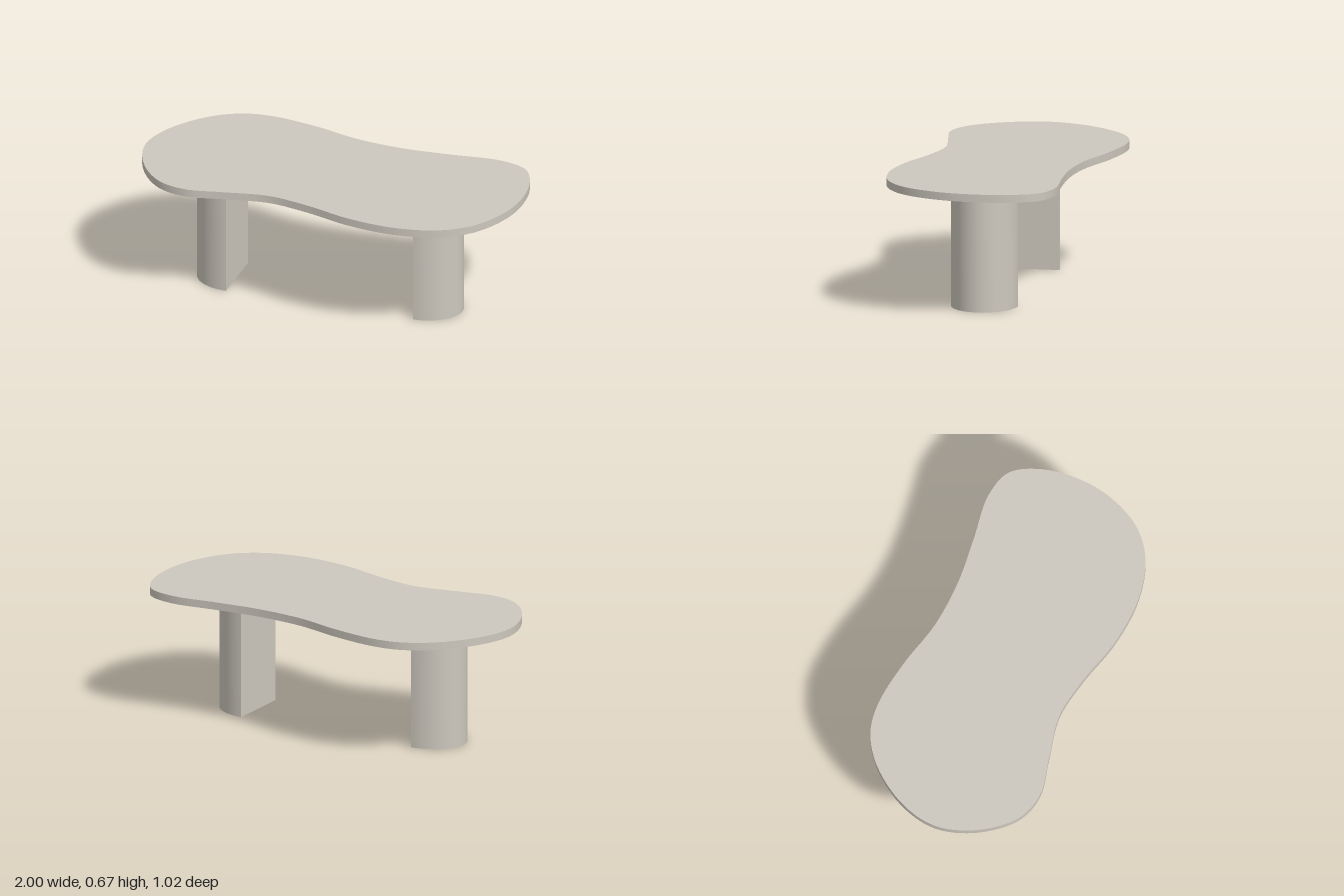
import * as THREE from 'three';
import { toCreasedNormals } from 'three/addons/utils/BufferGeometryUtils.js';

const LEG_HEIGHT = 0.625;
const TOP_THICKNESS = 0.04;

// Upright prism from a plan outline of (x, -z) points, with smooth sides and sharp rims
function prism(points, height) {
  const geometry = new THREE.ExtrudeGeometry(new THREE.Shape(points), {
    depth: height, bevelEnabled: false,
  });
  geometry.rotateX(-Math.PI / 2);
  return toCreasedNormals(geometry, 0.6);
}

export function createModel() {
  const group = new THREE.Group();
  const stone = new THREE.MeshStandardMaterial({ color: 0xcdc8be });
  stone.name = 'warm grey';

  // Freeform top: plan control points as x, z
  const plan = [
    [-1, 0], [-0.95, -0.2], [-0.8, -0.4], [-0.65, -0.49], [-0.5, -0.51],
    [-0.25, -0.47], [0, -0.4], [0.25, -0.375], [0.5, -0.387], [0.75, -0.405],
    [0.9, -0.355], [0.975, -0.22], [1, -0.03], [0.97, 0.16], [0.87, 0.35],
    [0.72, 0.46], [0.5, 0.505], [0.25, 0.48], [0, 0.405], [-0.22, 0.365],
    [-0.45, 0.4], [-0.65, 0.43], [-0.8, 0.38], [-0.94, 0.21],
  ];
  const curve = new THREE.CatmullRomCurve3(
    plan.map(([x, z]) => new THREE.Vector3(x, -z, 0)), true);
  const outline = curve.getPoints(160).slice(0, -1).map((p) => new THREE.Vector2(p.x, p.y));
  const top = new THREE.Mesh(prism(outline, TOP_THICKNESS), stone);
  top.name = 'tableTop';
  top.position.y = LEG_HEIGHT;
  group.add(top);

  // Half-oval legs, flat faces turned inward
  const halfOval = [];
  for (let i = 0; i <= 40; i++) {
    const a = -Math.PI / 2 + (Math.PI * i) / 40;
    halfOval.push(new THREE.Vector2(0.205 * Math.cos(a), 0.17 * Math.sin(a)));
  }
  const legGeometry = prism(halfOval, LEG_HEIGHT);
  for (const [name, x, turn] of [['leftLeg', 0.49, 0], ['rightLeg', -0.51, Math.PI]]) {
    const leg = new THREE.Mesh(legGeometry, stone);
    leg.name = name;
    leg.position.set(x, 0, 0.01);
    leg.rotation.y = turn;
    group.add(leg);
  }
  return group;
}
